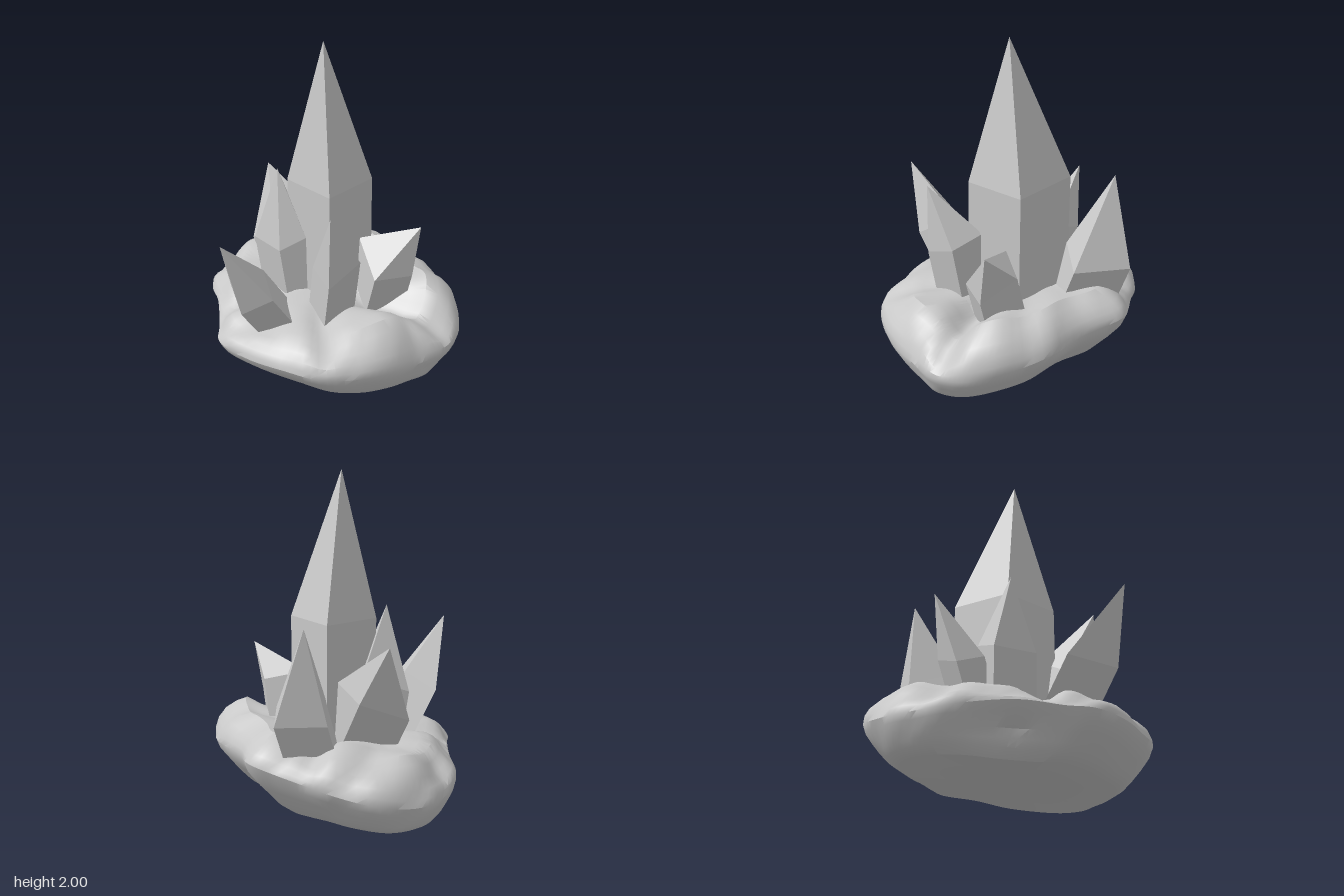
import * as THREE from 'three';
import { toCreasedNormals } from 'three/addons/utils/BufferGeometryUtils.js';

const stone = new THREE.MeshStandardMaterial({ color: 0xc8c8c8 });
stone.name = 'paleStone';

// Skin a stack of rings (bottom to top); a ring of one point closes an end.
function loft(rings) {
  const points = rings.flat(), index = [];
  const count = Math.max(...rings.map(r => r.length));
  let start = 0;
  for (let r = 0; r < rings.length - 1; r++) {
    const low = rings[r].length, high = rings[r + 1].length, next = start + low;
    for (let i = 0; i < count; i++) {
      const a = start + i % low, b = start + (i + 1) % low;
      const c = next + i % high, d = next + (i + 1) % high;
      if (a !== b) index.push(a, c, b);
      if (c !== d) index.push(b, c, d);
    }
    start = next;
  }
  const geometry = new THREE.BufferGeometry();
  geometry.setAttribute('position', new THREE.Float32BufferAttribute(points.flat(), 3));
  geometry.setIndex(index);
  return geometry;
}

// Four-sided crystal: tip, shoulder corners (back, right, front, left), shift down to the root.
function crystal(name, tip, shoulder, shift) {
  const root = shoulder.map(p => p.map((v, k) => v + shift[k]));
  const middle = [0, 1, 2].map(k => root.reduce((sum, p) => sum + p[k] / 4, 0));
  const geometry = loft([[middle], root, shoulder, [tip]]).toNonIndexed();
  geometry.computeVertexNormals();
  const mesh = new THREE.Mesh(geometry, stone);
  mesh.name = name;
  return mesh;
}

// Plan outline of the rock [x, z], clockwise from the back
const OUTLINE = [
  [-0.13, -0.81], [0.13, -0.71], [0.43, -0.68], [0.69, -0.54], [0.82, -0.41], [0.87, -0.28],
  [0.88, -0.16], [0.84, 0], [0.8, 0.18], [0.71, 0.39], [0.55, 0.57], [0.33, 0.65], [0.1, 0.71],
  [-0.16, 0.7], [-0.3, 0.57], [-0.49, 0.41], [-0.71, 0.26], [-0.84, 0.05], [-0.88, -0.16],
  [-0.81, -0.4], [-0.59, -0.59], [-0.42, -0.67], [-0.28, -0.75],
];

// Strength (0..1) of a feature running outward from the centre along an angle
function ray(x, z, angle, width) {
  const along = x * Math.cos(angle) + z * Math.sin(angle);
  const across = z * Math.cos(angle) - x * Math.sin(angle);
  return Math.exp(-((across / width) ** 2)) * THREE.MathUtils.smoothstep(along, 0.15, 0.42);
}

// Clefts in the crown: [angle, width, depth]
const CLEFTS = [[-0.27, 0.11, 0.12], [0.76, 0.08, 0.05], [2.1, 0.08, 0.06], [-2.2, 0.07, 0.04]];

// Broad lumps with sharp creases where the folded waves meet
const lumps = (x, y, z) =>
  (Math.abs(Math.sin(6 * x - 5 * z + 5 * y)) - 0.6) * 0.8 +
  (Math.abs(Math.sin(7 * z + 4 * x - 6 * y + 1)) - 0.6) * 0.6 +
  Math.sin(15 * x + 4 * z) * Math.sin(14 * z - 9 * y) * 0.35;

// Rock base: rings follow the outline, spreading to the rim then closing over the crown
function rock() {
  const curve = new THREE.CatmullRomCurve3(
    OUTLINE.map(([x, z]) => new THREE.Vector3(x, 0, z)), true, 'centripetal');
  const outline = curve.getPoints(110).slice(0, 110);
  // [x scale, z scale, height: foot 0, rim 1, crown 2, share of centre height, lump size]
  const levels = [
    [0.45, 0.35, 0, 0, 0], [0.83, 0.61, 0, 0, 0], [0.9, 0.72, 0.18, 0, 0.008],
    [0.93, 0.79, 0.35, 0, 0.02], [0.955, 0.87, 0.55, 0, 0.025], [0.985, 0.965, 0.8, 0, 0.015],
    [1, 1, 1, 0, 0.004], [0.99, 0.99, 1.2, 0, 0.015], [0.96, 0.96, 1.42, 0, 0.025],
    [0.91, 0.91, 1.65, 0, 0.03], [0.84, 0.84, 1.85, 0, 0.03], [0.76, 0.76, 2, 0, 0.035],
    [0.66, 0.66, 2, 0.25, 0.035], [0.55, 0.55, 2, 0.5, 0.03], [0.42, 0.42, 2, 0.8, 0.025],
    [0.22, 0.22, 2, 1, 0.015],
  ];
  const rings = levels.map(([sx, sz, h, flat, size]) => outline.map(p => {
    const back = Math.max(0, -p.z / 0.8), front = Math.max(0, p.z / 0.7);
    const x = p.x * sx, z = p.z * sz;
    const overhang = ray(p.x, p.z, 2.4, 0.25);
    const rim = 0.2 + 0.18 * back * back + 0.04 * front + 0.05 * overhang;
    const top = 0.4 + 0.12 * back - 0.03 * front + 0.06 * Math.max(0, p.x);
    const crown = top + (0.43 - top) * flat;
    const cleft = CLEFTS.reduce((sum, [a, w, d]) => sum + d * ray(x, z, a, w), 0);
    const n = lumps(x, h * 0.2, z) * size;
    // Hollow beneath the front right edge
    const hollow = 0.1 * overhang * Math.max(0, 1 - Math.abs(h - 0.55) / 0.4);
    const spread = 1 + n - hollow;
    const y = h <= 1 ? rim * h + n * 0.3
      : rim + (crown - rim) * (h - 1) + n - cleft * Math.min(1, (h - 1) * 1.5);
    return [x * spread, Math.max(0, y), z * spread];
  }));
  const mesh = new THREE.Mesh(
    toCreasedNormals(loft([[[0, 0, 0]], ...rings, [[0, 0.43, 0]]]), 0.6), stone);
  mesh.name = 'rockBase';
  return mesh;
}

export function createModel() {
  const group = new THREE.Group();
  group.name = 'crystalCluster';
  group.add(
    rock(),
    crystal('mainCrystal', [0.015, 2, -0.035],
      [[-0.22, 1.14, -0.32], [0.2, 1.12, -0.28], [0.21, 1.12, 0.12], [-0.17, 1.12, 0.085]],
      [0.01, -0.8, 0]),
    crystal('frontCrystal', [0.015, 1, 0.815],
      [[-0.02, 0.69, 0.45], [0.19, 0.62, 0.58], [0.06, 0.53, 0.71], [-0.195, 0.58, 0.56]],
      [0, -0.32, -0.23]),
    crystal('backCrystal', [-0.335, 1.18, -0.565],
      [[-0.285, 0.63, -0.74], [0, 0.64, -0.53], [-0.2, 0.7, -0.32], [-0.43, 0.62, -0.475]],
      [0.02, -0.35, 0.12]),
    crystal('rightCrystal', [-0.56, 1.05, -0.135],
      [[-0.42, 0.7, -0.24], [-0.2, 0.78, -0.23], [-0.33, 0.67, 0.055], [-0.535, 0.58, 0.04]],
      [0.17, -0.33, -0.02]),
    crystal('frontRightCrystal', [-0.2, 1.2, 0.14],
      [[-0.25, 0.8, -0.08], [0, 0.78, 0.1], [-0.09, 0.71, 0.24], [-0.375, 0.69, 0.175]],
      [0.04, -0.4, -0.04]),
    crystal('frontLeftCrystal', [0.38, 1.1, 0.3],
      [[0.2, 0.8, 0.02], [0.415, 0.75, 0.07], [0.38, 0.65, 0.31], [0.17, 0.69, 0.22]],
      [-0.06, -0.36, -0.02]),
    crystal('leftCrystal', [0.56, 0.89, -0.32],
      [[0.35, 0.7, -0.385], [0.545, 0.57, -0.27], [0.43, 0.58, -0.05], [0.2, 0.75, -0.17]],
      [-0.09, -0.34, -0.01]),
  );
  return group;
}
